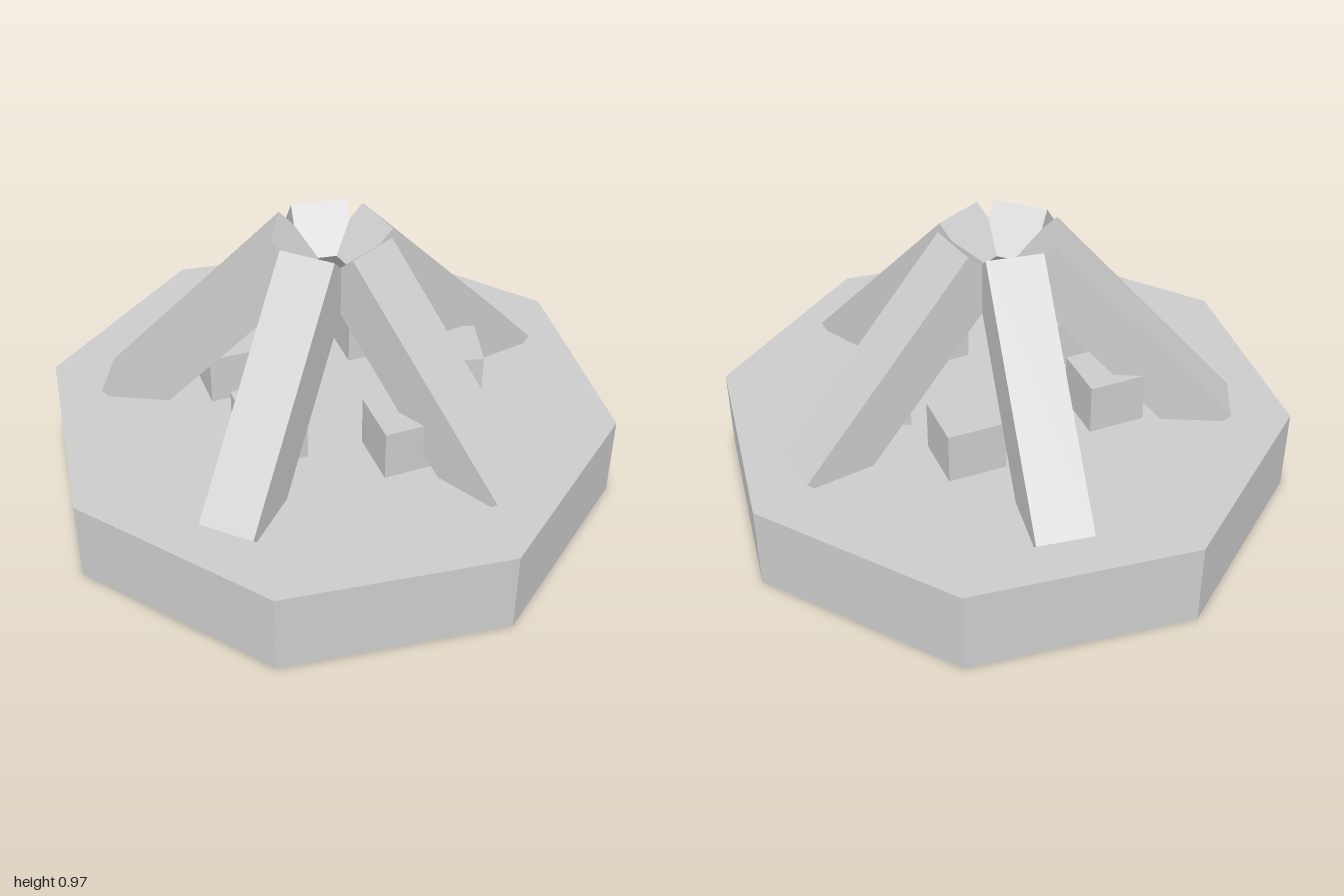
import * as THREE from 'three';

export function createModel() {
  const model = new THREE.Group();
  model.name = 'campfire';
  const grey = new THREE.MeshStandardMaterial({ color: 0xcccccc, flatShading: true });
  grey.name = 'light grey';

  // Octagonal ground slab
  const baseHeight = 0.297;
  const base = new THREE.Mesh(new THREE.CylinderGeometry(1, 1, baseHeight, 8), grey);
  base.name = 'base';
  base.position.y = baseHeight / 2;
  model.add(base);

  // Five square logs leaning together, lower ends sunk into the base
  const logs = new THREE.Group();
  logs.name = 'logs';
  logs.position.z = -0.007;
  const logGeometry = new THREE.BoxGeometry(0.895, 0.19, 0.19);
  for (let i = 0; i < 5; i++) {
    const pivot = new THREE.Group();
    pivot.name = 'logPivot' + (i + 1);
    pivot.rotation.y = THREE.MathUtils.degToRad(12.3 - i * 72);
    const log = new THREE.Mesh(logGeometry, grey);
    log.name = 'log' + (i + 1);
    log.position.set(0.419, 0.58, 0);
    log.rotation.z = THREE.MathUtils.degToRad(-46.6);
    pivot.add(log);
    logs.add(pivot);
  }
  model.add(logs);

  // Small blocks scattered between the logs: x, z, turn in degrees
  const blockGeometry = new THREE.BoxGeometry(0.2, 0.2, 0.2);
  const blocks = [
    [0.395, -0.013, -15],
    [0.108, 0.32, -15],
    [-0.275, 0.23, -15.5],
    [-0.19, -0.3, -15.4],
    [0.2, -0.38, -31],
  ];
  blocks.forEach(([x, z, turn], i) => {
    const block = new THREE.Mesh(blockGeometry, grey);
    block.name = 'block' + (i + 1);
    block.position.set(x, 0.376, z);
    block.rotation.y = THREE.MathUtils.degToRad(turn);
    model.add(block);
  });

  return model;
}
